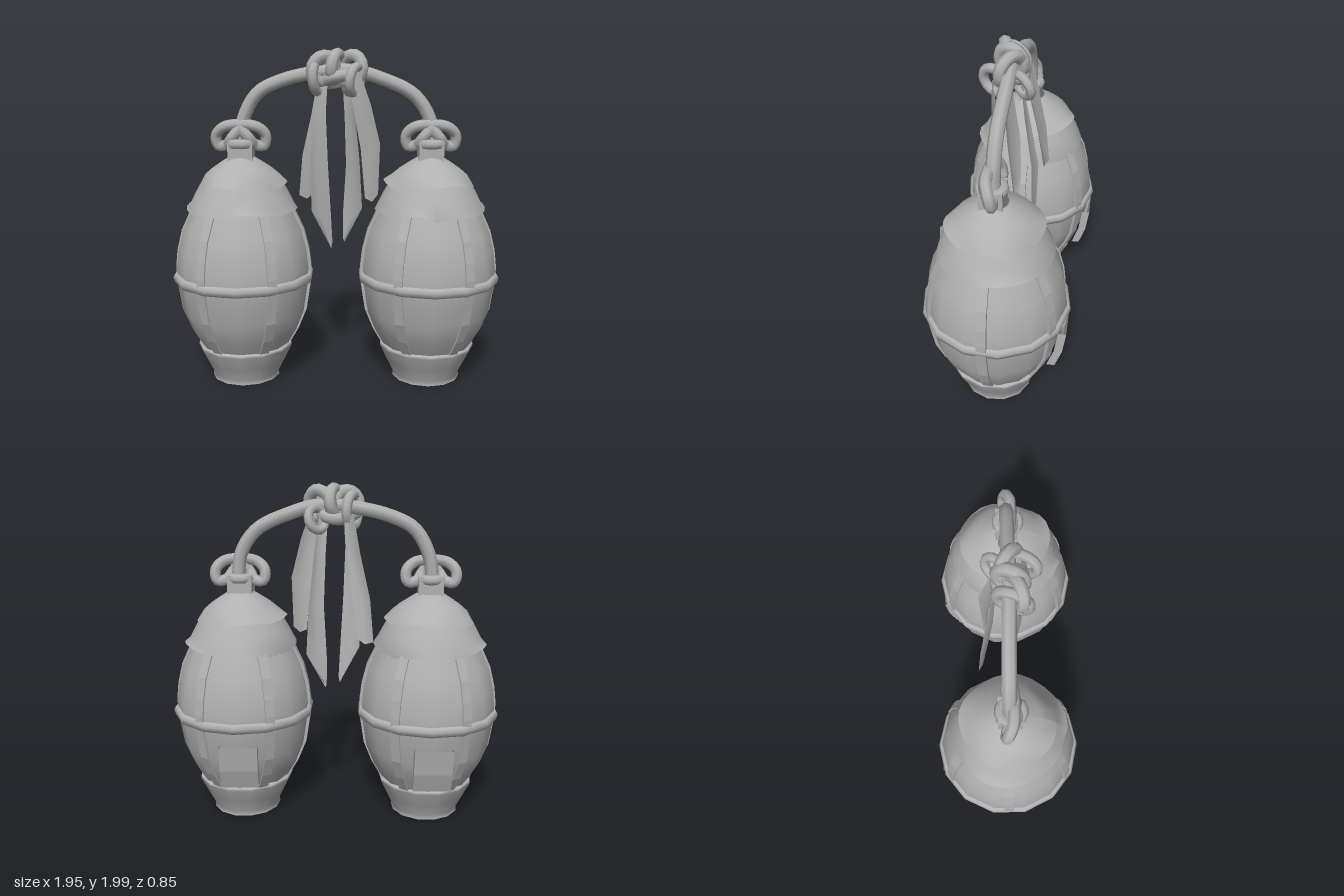
import * as THREE from 'three';

const grey = new THREE.MeshStandardMaterial({ color: 0xb0b0b0, side: THREE.DoubleSide });
grey.name = 'weatheredGrey';

function part(name, geometry, parent, x = 0, y = 0, z = 0) {
  const mesh = new THREE.Mesh(geometry, grey);
  mesh.name = name;
  mesh.position.set(x, y, z);
  parent.add(mesh);
  return mesh;
}

const lathe = (profile, sides) =>
  new THREE.LatheGeometry(profile.map(([r, y]) => new THREE.Vector2(r, y)), sides);

const rope = (points, radius, closed = false, steps = 40) =>
  new THREE.TubeGeometry(
    new THREE.CatmullRomCurve3(points.map((p) => new THREE.Vector3(...p)), closed), steps, radius, 7, closed);

// Flared cloth cover whose lower edge is torn
function skirt(profile, tear, seed) {
  const sides = 28;
  const g = lathe(profile, sides);
  const p = g.attributes.position;
  for (let i = 0; i < p.count; i++) {
    const row = i % profile.length;
    const k = Math.floor(i / profile.length) % sides;
    const n = Math.sin(k * 12.9 + seed) * 0.6 + Math.sin(k * 5.3 + seed * 2) * 0.4;
    const s = 1 + n * (row === 0 ? 0.05 : 0.015);
    p.setXYZ(i, p.getX(i) * s, p.getY(i) + (row === 0 ? n * tear : 0), p.getZ(i) * s);
  }
  g.computeVertexNormals();
  return g;
}

// Strap of flat cross-section that follows a body profile, facing +z
function strap(profile, halfWidth, depth) {
  const pos = [], idx = [];
  profile.forEach(([r, y], i) => {
    pos.push(-halfWidth, y, r - 0.03, -halfWidth, y, r + depth, halfWidth, y, r + depth, halfWidth, y, r - 0.03);
    if (i === 0) return;
    for (let k = 0; k < 3; k++) {
      const a = (i - 1) * 4 + k, b = a + 4;
      idx.push(a, a + 1, b, a + 1, b + 1, b);
    }
  });
  const g = new THREE.BufferGeometry();
  g.setAttribute('position', new THREE.Float32BufferAttribute(pos, 3));
  g.setIndex(idx);
  const flat = g.toNonIndexed();
  flat.computeVertexNormals();
  return flat;
}

// Folded cloth strip; rows are x, y, z, half width, turn
function ribbon(rows) {
  const pos = [], idx = [];
  rows.forEach(([x, y, z, w, a], i) => {
    const c = Math.cos(a) * w, s = Math.sin(a) * w;
    pos.push(x - c, y, z - s, x - s * 0.4, y - 0.02, z + c * 0.4, x + c, y + 0.02, z + s);
    if (i === 0) return;
    for (let k = 0; k < 2; k++) {
      const p = (i - 1) * 3 + k, q = p + 3;
      idx.push(p, q, p + 1, p + 1, q, q + 1);
    }
  });
  const g = new THREE.BufferGeometry();
  g.setAttribute('position', new THREE.Float32BufferAttribute(pos, 3));
  g.setIndex(idx);
  g.computeVertexNormals();
  return g;
}

const BODY = [[0.262, 0.2], [0.325, 0.31], [0.373, 0.43], [0.402, 0.62], [0.402, 0.7], [0.39, 0.8], [0.36, 0.92], [0.295, 1.06]];

function jar(name, x, seed) {
  const g = new THREE.Group();
  g.name = name;
  g.position.set(x, 0, 0.01);

  // Foot and barrel
  part('base', lathe([[0.2, 0.005], [0, 0.005]].reverse(), 12), g);
  part('foot', lathe([[0.207, 0], [0.203, 0.025], [0.245, 0.11], [0.288, 0.2], [0.286, 0.215], [0.25, 0.235]], 13), g);
  part('barrel', lathe(BODY, 14), g);

  // Middle band and vertical straps
  part('middleBand', lathe([[0.385, 0.605], [0.418, 0.615], [0.426, 0.645], [0.415, 0.665], [0.385, 0.675]], 14), g);
  for (let i = 0; i < 6; i++) {
    part('strap', strap(BODY, 0.028, 0.008), g).rotation.y = Math.PI / 2 + (i * Math.PI) / 3;
  }

  // Loose panel on the lower back
  part('loosePanel', strap([[0.335, 0.26], [0.375, 0.38], [0.395, 0.53]], 0.11, 0.018), g).rotation.y = Math.PI + 0.05;

  // Two torn covers, shoulder and neck
  part('lowerCover', skirt([[0.325, 1.045], [0.305, 1.09], [0.275, 1.15], [0.235, 1.22]], 0.025, seed), g);
  part('upperCover', skirt([[0.265, 1.2], [0.222, 1.255], [0.175, 1.295], [0.115, 1.335], [0.075, 1.36]], 0.03, seed + 3), g);
  part('neck', new THREE.BoxGeometry(0.145, 0.15, 0.13), g, 0, 1.385, 0.01);

  // Rope bow around the neck
  for (const s of [-1, 1]) {
    part('bowLoop', rope([[0, 1.545, 0.03], [s * 0.09, 1.54, 0.025], [s * 0.145, 1.49, 0], [s * 0.135, 1.425, -0.01],
      [s * 0.085, 1.43, 0], [s * 0.05, 1.475, 0.04]], 0.033, true, 30), g);
  }
  const wrap = part('neckWrap', new THREE.TorusGeometry(0.062, 0.03, 7, 14), g, 0, 1.44, 0.015);
  wrap.rotation.x = Math.PI / 2;
  return g;
}

export function createModel() {
  const model = new THREE.Group();
  model.name = 'tiedJars';
  model.add(jar('rightJar', -0.56, 1), jar('leftJar', 0.556, 5));

  // Arched carrying rope
  part('carryingRope', rope([[-0.57, 1.42, 0.015], [-0.545, 1.58, 0.015], [-0.46, 1.73, 0.015], [-0.33, 1.8, 0.015],
    [-0.12, 1.85, 0.02], [0.1, 1.86, 0.02], [0.25, 1.82, 0.015], [0.45, 1.725, 0.015], [0.545, 1.59, 0.015],
    [0.57, 1.42, 0.015]], 0.04), model);

  // Knot of interlocked loops: x, y, z, radius, tube, turns
  const knot = new THREE.Group();
  knot.name = 'knot';
  model.add(knot);
  for (const [x, y, z, r, t, rx, ry] of [
    [-0.07, 1.87, 0.06, 0.075, 0.036, 0.2, 0.4],
    [0.085, 1.87, 0.02, 0.08, 0.036, -0.2, -0.6],
    [0, 1.88, 0.03, 0.075, 0.036, 0.3, 1.2],
    [-0.1, 1.83, 0.04, 0.09, 0.03, 0, 1.2],
    [0.11, 1.81, 0.1, 0.075, 0.028, 0.3, 1.1],
    [0.1, 1.79, -0.05, 0.065, 0.026, 0.4, 0.8],
    [0.01, 1.81, 0.03, 0.07, 0.036, 1.3, 0.2],
  ]) part('knotLoop', new THREE.TorusGeometry(r, t, 7, 16), knot, x, y, z).rotation.set(rx, ry, 0);

  // Hanging ribbon ends
  [
    [[-0.08, 1.82, -0.06, 0.03, 0.3], [-0.11, 1.6, -0.08, 0.045, 0.5], [-0.155, 1.35, -0.12, 0.055, 0.3], [-0.18, 1.1, -0.15, 0.05, 0.1]],
    [[-0.07, 1.82, 0.06, 0.025, 0.2], [-0.1, 1.6, 0.07, 0.045, 0.4], [-0.1, 1.3, 0.04, 0.06, 0.5], [-0.09, 1.03, 0.02, 0.06, 0.3], [-0.03, 0.82, 0.01, 0.008, 0]],
    [[0.1, 1.82, 0.1, 0.04, 0.2], [0.15, 1.65, 0.09, 0.055, -0.4], [0.2, 1.42, 0.06, 0.06, -0.3], [0.21, 1.12, 0.05, 0.04, -0.2]],
    [[0.06, 1.82, -0.04, 0.025, 0.2], [0.08, 1.6, -0.07, 0.035, -0.5], [0.1, 1.3, -0.12, 0.05, -0.6], [0.1, 1.0, -0.13, 0.06, -0.2], [0.05, 0.83, -0.12, 0.008, 0]],
  ].forEach((rows) => part('ribbon', ribbon(rows), model));

  return model;
}
